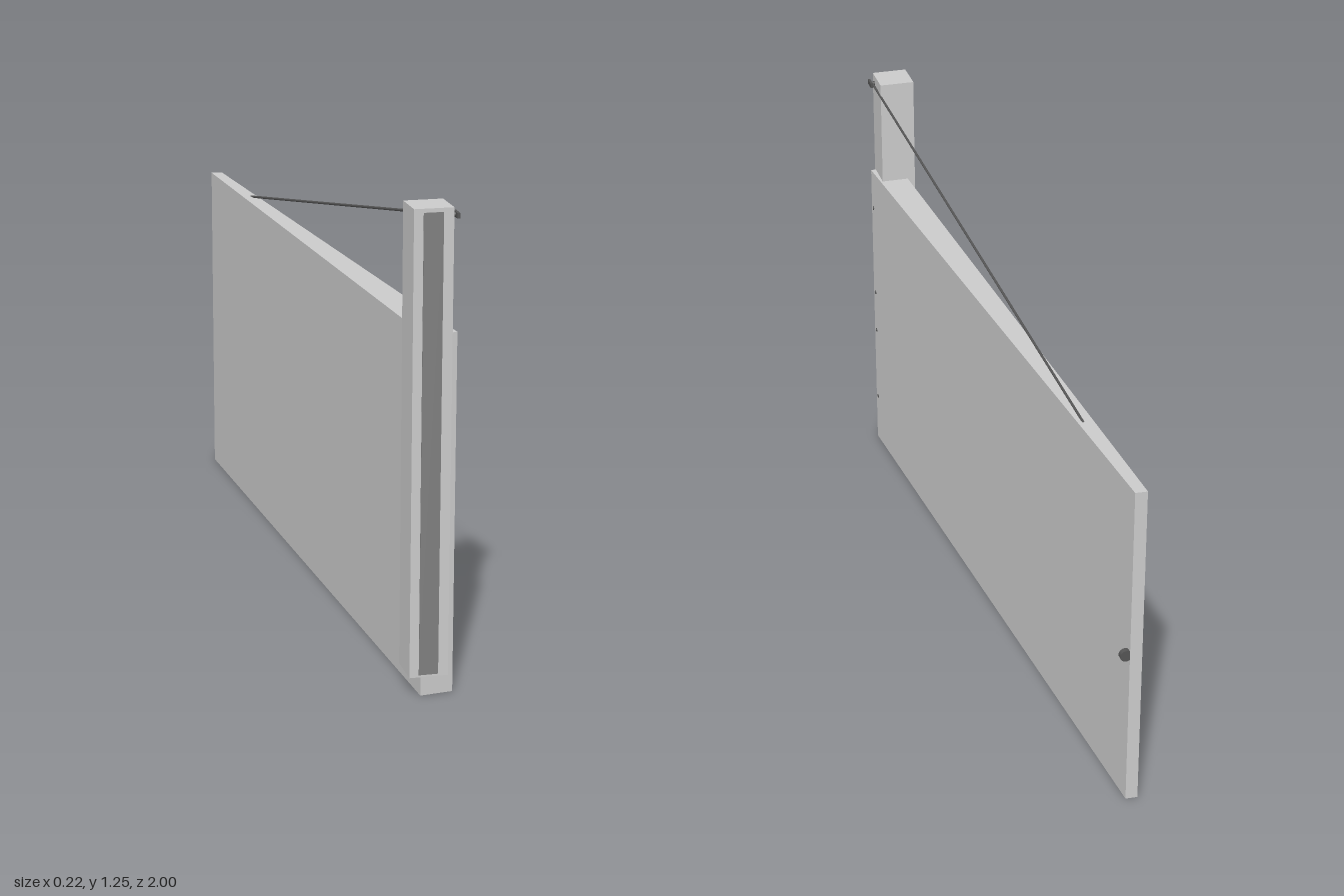
import * as THREE from 'three';

const grey = new THREE.MeshStandardMaterial({ color: 0xcccccc, flatShading: true });
const dark = new THREE.MeshStandardMaterial({ color: 0x808080 });
const iron = new THREE.MeshStandardMaterial({ color: 0x555555 });

export function createModel() {
  const group = new THREE.Group();
  const add = (name, geometry, material, x = 0, y = 0, z = 0) => {
    const mesh = new THREE.Mesh(geometry, material);
    mesh.name = name;
    mesh.position.set(x, y, z);
    group.add(mesh);
    return mesh;
  };

  // Tapered gate panel: a wedge-shaped plan raised upward (shape y becomes -z)
  const plan = new THREE.Shape([
    [0.022, 0.998], [0.108, 0.988], [-0.081, -0.998], [-0.113, -1],
  ].map(([x, z]) => new THREE.Vector2(x, -z)));
  const panel = new THREE.ExtrudeGeometry(plan, { depth: 0.938, bevelEnabled: false });
  panel.rotateX(-Math.PI / 2);
  add('gatePanel', panel, grey);

  // Post with a dark strip set on its front
  add('post', new THREE.BoxGeometry(0.1, 1.2, 0.1), grey, 0.043, 0.65, 0.949);
  add('postStrip', new THREE.BoxGeometry(0.05, 1.184, 0.004), dark, 0.042, 0.648, 0.9985);

  // Hinge bolts along the post
  for (const y of [0.817, 0.527, 0.394, 0.155]) {
    const bolt = new THREE.CylinderGeometry(0.006, 0.006, 0.014, 10);
    bolt.rotateZ(Math.PI / 2);
    add('hingeBolt', bolt, iron, 0.101, y, 0.973);
  }

  // Stay cable from the post down to the top of the panel
  const top = new THREE.Vector3(0.1, 1.226, 0.975);
  const foot = new THREE.Vector3(-0.062, 0.936, -0.64);
  add('stayCable', new THREE.TubeGeometry(new THREE.LineCurve3(top, foot), 1, 0.0035, 8), iron);

  // Cable anchor: a stud and a small plate on the post
  const stud = new THREE.CylinderGeometry(0.006, 0.006, 0.018, 10);
  stud.rotateZ(Math.PI / 2);
  add('anchorStud', stud, iron, 0.1, 1.227, 0.975);
  add('anchorPlate', new THREE.BoxGeometry(0.007, 0.014, 0.036), iron, 0.106, 1.227, 0.975);

  // Round latch at the free end
  const latch = new THREE.CylinderGeometry(0.016, 0.016, 0.014, 20);
  latch.rotateX(Math.PI / 2);
  add('latch', latch, iron, -0.071, 0.455, -0.991);

  return group;
}
